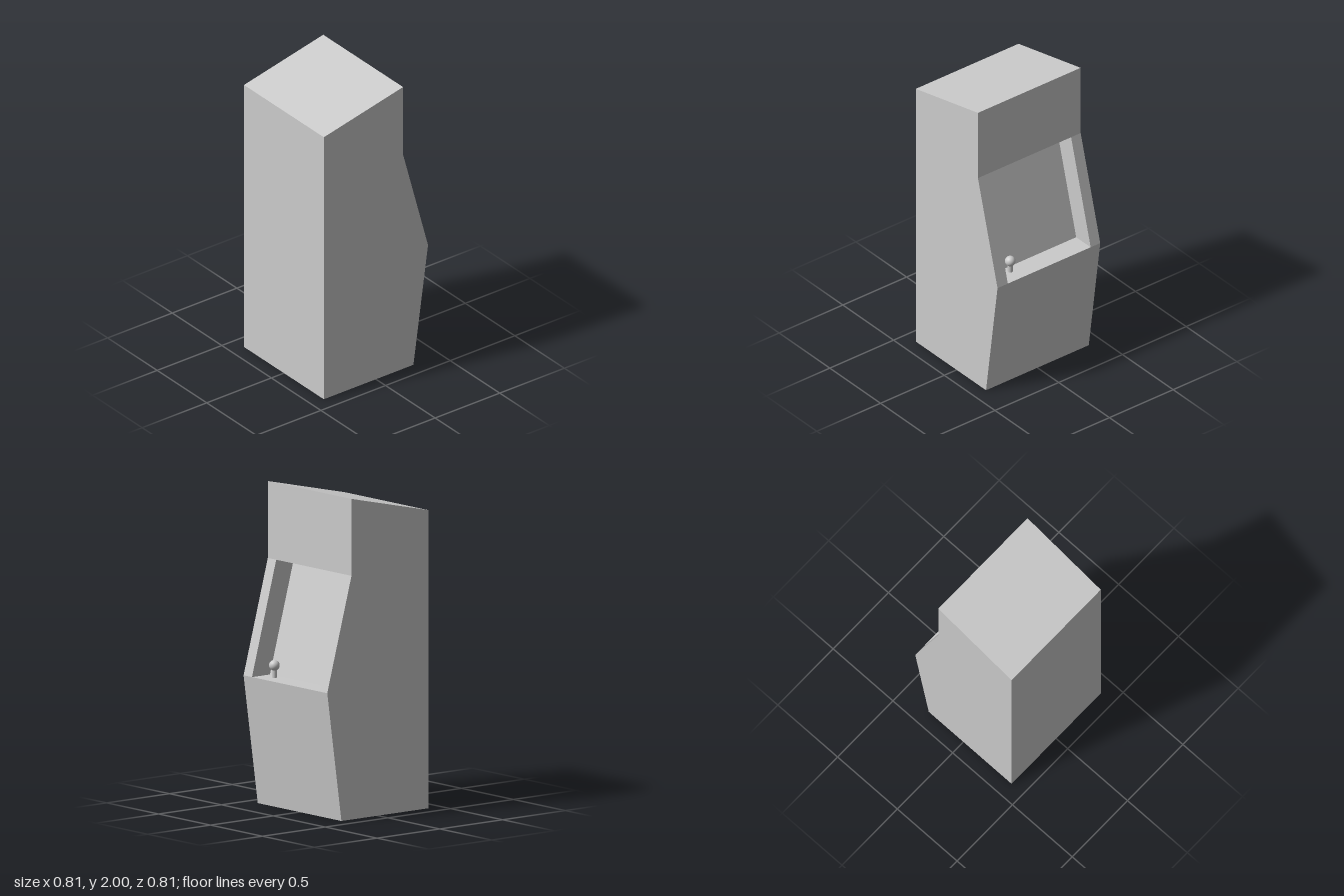
import * as THREE from 'three';

const material = new THREE.MeshStandardMaterial({ color: 0xcccccc });
const HALF = 0.403;             // half depth of the cabinet
const NEAR = 0.322, FAR = -0.328; // z limits of the recess

// Side profile of the cabinet, counter-clockwise
const profile = [[-0.403, 0], [0.29, 0], [0.403, 0.81], [0.21, 1.52], [0.21, 2], [-0.403, 1.86]];
// Recess outline: ledge, screen, ceiling
const recess = [[0.403, 0.81], [0.26, 0.81], [0.067, 1.52], [0.21, 1.52]];

// Quad from profile point a to b, spanning depth z0 (far) to z1 (near)
function strip([ax, ay], [bx, by], z0, z1) {
  return [ax, ay, z1, ax, ay, z0, bx, by, z0, ax, ay, z1, bx, by, z0, bx, by, z1];
}

// Flat outline at depth z; the outline is counter-clockwise, facing is +1 or -1 along z
function panel(points, z, facing) {
  const contour = points.map(([x, y]) => new THREE.Vector2(x, y));
  return THREE.ShapeUtils.triangulateShape(contour, [])
    .flatMap(([a, b, c]) => (facing > 0 ? [a, b, c] : [a, c, b]))
    .flatMap((i) => [...points[i], z]);
}

function addMesh(parent, name, geometry) {
  const mesh = new THREE.Mesh(geometry, material);
  mesh.name = name;
  parent.add(mesh);
  return mesh;
}

function addFaces(parent, name, ...faces) {
  const geometry = new THREE.BufferGeometry();
  geometry.setAttribute('position', new THREE.Float32BufferAttribute(faces.flat(), 3));
  geometry.computeVertexNormals();
  return addMesh(parent, name, geometry);
}

export function createModel() {
  const model = new THREE.Group();
  model.name = 'arcadeCabinet';

  // Outer shell; the sloped front is left open between its two side rails
  const shell = [panel(profile, HALF, 1), panel(profile, -HALF, -1)];
  profile.forEach((a, i) => {
    const b = profile[(i + 1) % profile.length];
    if (i === 2) shell.push(strip(a, b, NEAR, HALF), strip(a, b, -HALF, FAR));
    else shell.push(strip(a, b, -HALF, HALF));
  });
  addFaces(model, 'cabinetShell', ...shell);

  // Recess with control ledge, tilted screen, ceiling and cheeks
  ['controlLedge', 'screen', 'recessCeiling'].forEach((name, i) =>
    addFaces(model, name, strip(recess[i], recess[i + 1], FAR, NEAR)));
  const cheek = [...recess].reverse();
  cheek.unshift(cheek.pop());
  addFaces(model, 'recessCheeks', panel(cheek, FAR, 1), panel(cheek, NEAR, -1));

  // Joystick on the ledge
  const joystick = new THREE.Group();
  joystick.name = 'joystick';
  joystick.position.set(0.305, 0.81, 0.225);
  addMesh(joystick, 'stick', new THREE.CylinderGeometry(0.016, 0.016, 0.07, 24)).position.y = 0.035;
  addMesh(joystick, 'knob', new THREE.SphereGeometry(0.033, 32, 20)).position.y = 0.076;
  model.add(joystick);

  return model;
}
